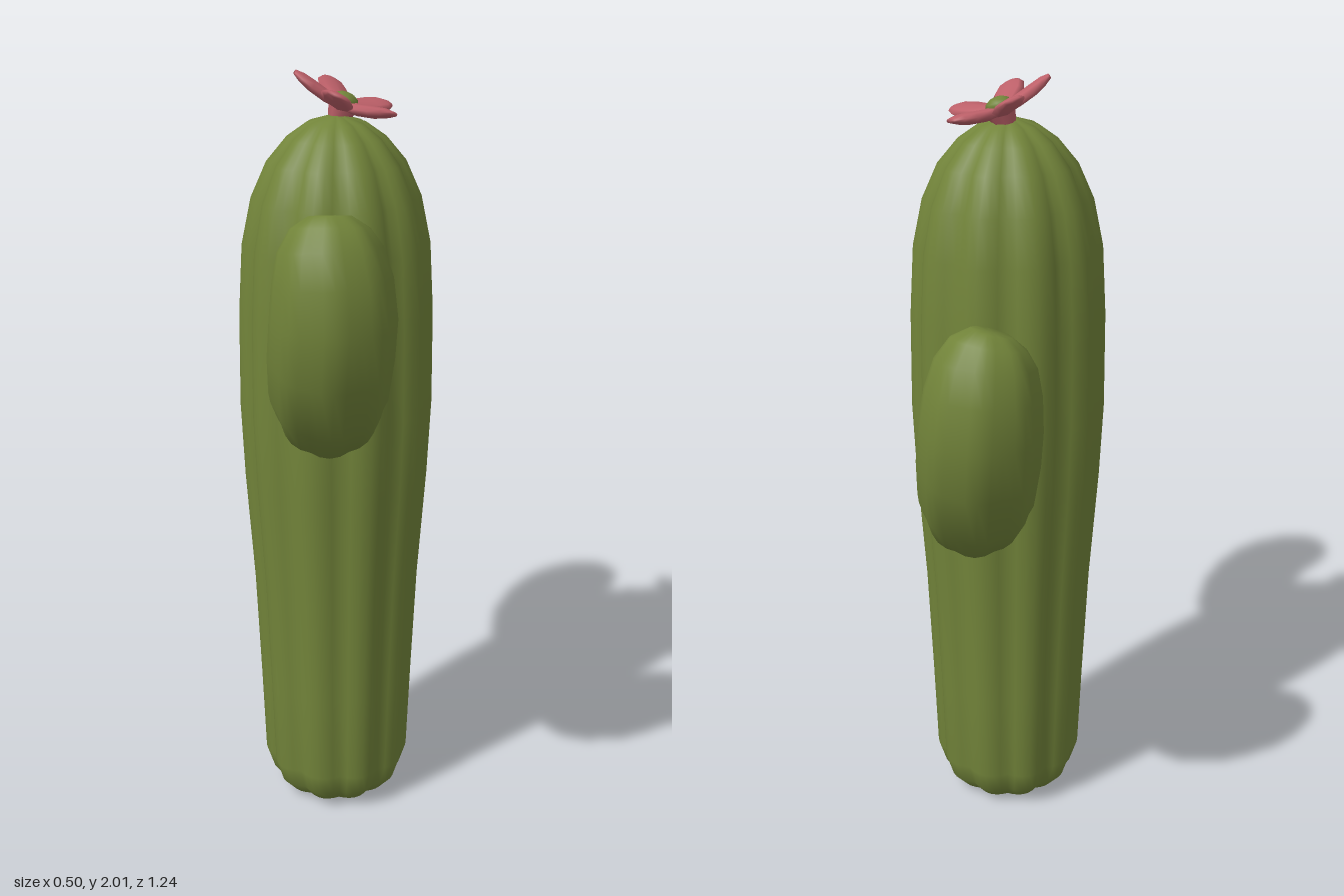
import * as THREE from 'three';

// Skin through cross-sections [x, y, z, radius sideways, radius across], with optional ribs.
function loft(sections, segs, ribs = 0, depth = 0) {
  const pos = [], idx = [], n = sections.length;
  const centres = sections.map(s => new THREE.Vector3(s[0], s[1], s[2]));
  centres.forEach((c, i) => {
    const t = centres[Math.min(i + 1, n - 1)].clone().sub(centres[Math.max(i - 1, 0)]).normalize();
    const u = new THREE.Vector3(1, 0, 0);
    u.addScaledVector(t, -u.dot(t)).normalize();
    const v = t.clone().cross(u);
    for (let j = 0; j < segs; j++) {
      const a = (j / segs) * Math.PI * 2;
      const k = 1 - depth * (1 - Math.abs(Math.cos(a * ribs / 2)));
      const p = c.clone()
        .addScaledVector(u, Math.cos(a) * sections[i][3] * k)
        .addScaledVector(v, Math.sin(a) * sections[i][4] * k);
      pos.push(p.x, p.y, p.z);
    }
  });
  for (let i = 0; i < n - 1; i++) {
    for (let j = 0; j < segs; j++) {
      const a = i * segs + j, b = i * segs + (j + 1) % segs;
      idx.push(a, b, a + segs, b, b + segs, a + segs);
    }
  }
  // End caps
  const first = n * segs, last = first + 1, top = (n - 1) * segs;
  pos.push(...centres[0].toArray(), ...centres[n - 1].toArray());
  for (let j = 0; j < segs; j++) {
    const k = (j + 1) % segs;
    idx.push(first, k, j, last, top + j, top + k);
  }
  const g = new THREE.BufferGeometry();
  g.setAttribute('position', new THREE.Float32BufferAttribute(pos, 3));
  g.setIndex(idx);
  g.computeVertexNormals();
  return g;
}

export function createModel() {
  const model = new THREE.Group();
  model.name = 'cactus';
  const green = new THREE.MeshStandardMaterial({ color: 0x72843a });
  green.name = 'cactusGreen';
  const pink = new THREE.MeshStandardMaterial({ color: 0xbd6069 });
  pink.name = 'petalPink';

  const add = (parent, name, geometry, material) => {
    const mesh = new THREE.Mesh(geometry, material);
    mesh.name = name;
    parent.add(mesh);
    return mesh;
  };

  // Ribbed trunk: [height, radius]
  const trunk = [
    [0, 0.11], [0.012, 0.145], [0.05, 0.18], [0.11, 0.2], [0.35, 0.209], [0.65, 0.222],
    [0.95, 0.243], [1.15, 0.252], [1.4, 0.25], [1.58, 0.24], [1.7, 0.215], [1.79, 0.175],
    [1.85, 0.125], [1.885, 0.075], [1.9, 0.025],
  ].map(([y, r]) => [0, y, -0.005 - 0.01 * Math.min(y, 1), r, r * 0.98]);
  add(model, 'trunk', loft(trunk, 60, 10, 0.09), green);

  // Front arm bends out and up
  const frontArm = [
    [-0.03, 1.25, 0.12, 0.115, 0.12], [-0.035, 1.245, 0.24, 0.12, 0.122],
    [-0.037, 1.265, 0.32, 0.13, 0.13], [-0.04, 1.33, 0.405, 0.143, 0.137],
    [-0.038, 1.43, 0.458, 0.148, 0.137], [-0.033, 1.53, 0.478, 0.147, 0.135],
    [-0.035, 1.62, 0.475, 0.138, 0.13], [-0.04, 1.69, 0.467, 0.12, 0.112],
    [-0.04, 1.735, 0.457, 0.09, 0.087], [-0.04, 1.76, 0.45, 0.05, 0.05],
  ];
  add(model, 'frontArm', loft(frontArm, 32, 8, 0.05), green);

  // Back arm: mirrored, lower and leaning sideways as it rises
  const backArm = frontArm.map(([, y, z, rx, rv], i) =>
    [0.08 - 0.045 * Math.max(0, i - 2) / 7, y - 0.255 - 0.02 * Math.max(0, 1 - i / 4),
      -z - 0.003 * i, rx, rv]);
  add(model, 'backArm', loft(backArm, 32, 8, 0.05), green);

  // Tilted flower with five cupped petals
  const flower = new THREE.Group();
  flower.name = 'flower';
  flower.position.set(0.018, 1.922, -0.035);
  flower.rotation.z = -0.37;
  model.add(flower);
  const petal = loft([
    [0, 0, 0, 0.022, 0.014], [0, 0.006, 0.045, 0.034, 0.015], [0, 0.018, 0.09, 0.043, 0.015],
    [0, 0.028, 0.12, 0.037, 0.012], [0, 0.034, 0.14, 0.02, 0.006],
  ], 8);
  for (let i = 0; i < 5; i++) {
    add(flower, 'petal', petal, pink).rotation.y = -Math.PI / 2 + (i * Math.PI * 2) / 5;
  }
  add(flower, 'flowerBase', new THREE.CylinderGeometry(0.04, 0.025, 0.045, 8).translate(0, -0.018, 0), pink);
  const centre = add(flower, 'flowerCentre', new THREE.SphereGeometry(0.034, 8, 6), green);
  centre.position.y = 0.014;
  centre.scale.y = 0.6;

  return model;
}
